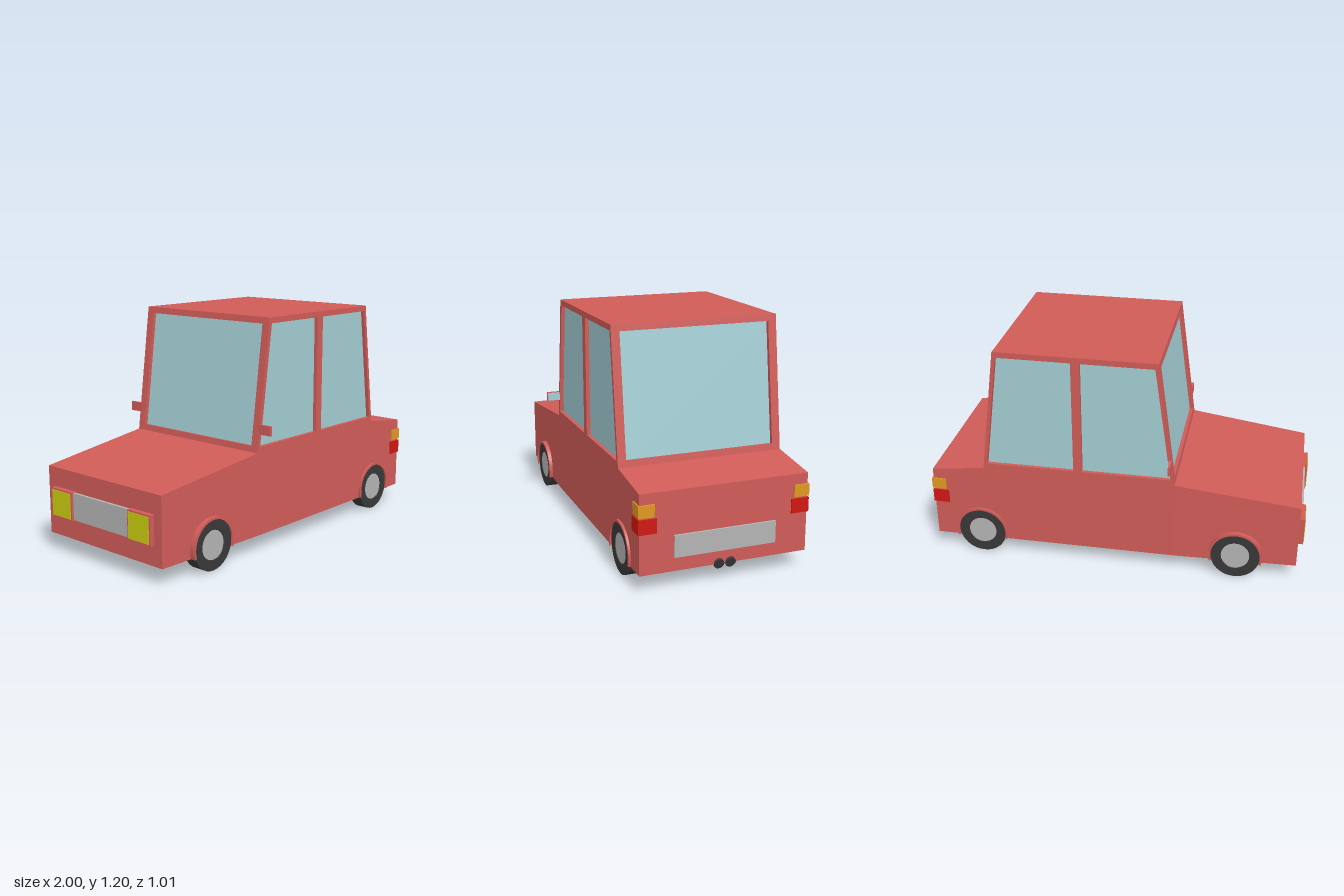
import * as THREE from 'three';

const paint = (color) => new THREE.MeshStandardMaterial({ color, flatShading: true });
const RED = paint(0xd05c58), GLASS = paint(0xa3cdd3), BLACK = paint(0x383838), GREY = paint(0xb4b4b4);
const ORANGE = paint(0xe09820), BRAKE = paint(0xd01810), YELLOW = paint(0xcccc10);

const HW = 0.433;            // half width of the body
const SKIN = 0.02;           // thickness of the window frames
const BELT = 0.525, ROOF = 1.2;
const LEAN = 0.09;           // how far the screens lean in
const tilt = Math.atan2(LEAN, ROOF - BELT);

export function createModel() {
  const car = new THREE.Group();
  car.name = 'car';

  const add = (name, geometry, material, x = 0, y = 0, z = 0) => {
    const mesh = new THREE.Mesh(geometry, material);
    mesh.name = name;
    mesh.position.set(x, y, z);
    car.add(mesh);
    return mesh;
  };
  // Box given by its limits on each axis
  const box = (name, material, x0, x1, y0, y1, z0, z1) =>
    add(name, new THREE.BoxGeometry(x1 - x0, y1 - y0, z1 - z0), material,
      (x0 + x1) / 2, (y0 + y1) / 2, (z0 + z1) / 2);
  const points = (list) => list.map(([x, y]) => new THREE.Vector2(x, y));
  const plate = (outline, holes, depth) => {
    const shape = new THREE.Shape(points(outline));
    holes.forEach((h) => shape.holes.push(new THREE.Path(points(h))));
    return new THREE.ExtrudeGeometry(shape, { depth, bevelEnabled: false, curveSegments: 32 });
  };

  // Lower body: a box with its sections moved to [x, top, half width]
  const stations = [[-0.97, 0.445, 0.41], [-0.32, BELT, HW], [0.7, BELT, HW], [0.985, 0.49, HW]];
  const hull = new THREE.BoxGeometry(1, 1, 1, 3, 1, 1);
  const p = hull.attributes.position;
  for (let i = 0; i < p.count; i++) {
    const [x, top, half] = stations[Math.round((p.getX(i) + 0.5) * 3)];
    p.setXYZ(i, x, p.getY(i) > 0 ? top : 0.09, Math.sign(p.getZ(i)) * half);
  }
  hull.computeVertexNormals();
  add('lowerBody', hull, RED);

  // Cabin: glass core, roof and framed sides
  const cabin = (y0, y1, inset) => {
    const lean = (y) => LEAN * (y - BELT) / (ROOF - BELT) + inset;
    return [[-0.32 + lean(y0), y0], [0.7 - lean(y0), y0], [0.7 - lean(y1), y1], [-0.32 + lean(y1), y1]];
  };
  const inner = HW - SKIN;
  add('windowGlass', plate(cabin(0.5, 1.18, SKIN), [], 2 * inner), GLASS, 0, 0, -inner);
  add('roof', plate(cabin(1.17, ROOF, 0.002), [], 2 * inner), RED, 0, 0, -inner);
  const sideHoles = [
    [[-0.298, 0.555], [-0.212, 1.17], [0.166, 1.17], [0.166, 0.555]],
    [[0.212, 0.555], [0.212, 1.17], [0.595, 1.17], [0.677, 0.555]],
  ];
  const sideFrame = plate(cabin(BELT, ROOF, 0), sideHoles, SKIN);
  add('leftWindowFrame', sideFrame, RED, 0, 0, inner);
  add('rightWindowFrame', sideFrame, RED, 0, 0, -HW);

  // Leaning frames of the windscreen and the rear window
  const rise = Math.hypot(LEAN, ROOF - BELT);
  for (const [name, x, dir] of [['windscreenFrame', -0.32, -1], ['rearWindowFrame', 0.7, 1]]) {
    const frame = plate([[-inner, 0], [inner, 0], [inner, rise], [-inner, rise]],
      [[[-0.39, 0.032], [-0.39, 0.648], [0.39, 0.648], [0.39, 0.032]]], SKIN);
    frame.translate(0, 0, -SKIN).rotateY(dir * Math.PI / 2).rotateZ(dir * tilt);
    add(name, frame, RED, x, BELT, 0);
  }

  // Wheels: tyre with a shallow dish, hub, and an arch cut off at the floor
  const tyre = new THREE.LatheGeometry(
    points([[0, -0.035], [0.13, -0.035], [0.13, 0.035], [0.078, 0.035], [0.075, 0.03], [0, 0.03]]), 32);
  tyre.rotateX(Math.PI / 2);
  const hub = new THREE.CylinderGeometry(0.075, 0.075, 0.02, 32).rotateX(Math.PI / 2);
  const cut = Math.asin(0.04 / 0.142);
  const archShape = new THREE.Shape();
  archShape.absarc(0, 0, 0.142, -cut, Math.PI + cut, false);
  archShape.absarc(0, 0, 0.13, Math.PI + cut, -cut, true);
  const arch = new THREE.ExtrudeGeometry(archShape, { depth: 0.05, bevelEnabled: false, curveSegments: 28 });
  for (const x of [-0.65, 0.73]) {
    for (const side of [-1, 1]) {
      const wheel = new THREE.Group();
      wheel.name = (x < 0 ? 'front' : 'rear') + (side > 0 ? 'LeftWheel' : 'RightWheel');
      for (const [name, geo, mat, z] of [['tyre', tyre, BLACK, 0.401], ['hub', hub, GREY, 0.424], ['wheelArch', arch, RED, 0.395]]) {
        const mesh = new THREE.Mesh(geo, mat);
        mesh.name = name;
        mesh.position.z = z;
        wheel.add(mesh);
      }
      wheel.position.set(x, 0.13, 0);
      if (side < 0) wheel.rotation.y = Math.PI;
      car.add(wheel);
    }
  }

  // Paired lamps, mirrors and exhausts
  for (const s of [-1, 1]) {
    const pair = (name, mat, x0, x1, y0, y1, za, zb) =>
      box(name, mat, x0, x1, y0, y1, Math.min(s * za, s * zb), Math.max(s * za, s * zb));
    pair('turnSignal', ORANGE, 0.915, 0.993, 0.375, 0.436, 0.36, 0.44);
    pair('brakeLight', BRAKE, 0.905, 0.991, 0.293, 0.366, 0.347, 0.44);
    pair('headlightHousing', RED, -0.997, -0.96, 0.195, 0.345, 0.205, 0.36);
    pair('headlight', YELLOW, -1, -0.99, 0.203, 0.337, 0.213, 0.352);
    pair('mirror', RED, -0.305, -0.292, 0.62, 0.67, 0.42, 0.503);
    pair('mirrorGlass', GLASS, -0.293, -0.289, 0.623, 0.667, 0.43, 0.5);
    const pipe = add('exhaust', new THREE.CylinderGeometry(0.026, 0.026, 0.09, 20), BLACK, 0.948, 0.104, s * 0.03);
    pipe.rotation.z = -Math.PI / 2 - 0.32;
  }

  // Grille and number plate
  box('grille', GREY, -0.985, -0.96, 0.2, 0.34, -0.207, 0.207);
  box('rearPlate', GREY, 0.98, 0.996, 0.16, 0.271, -0.262, 0.262);
  return car;
}
